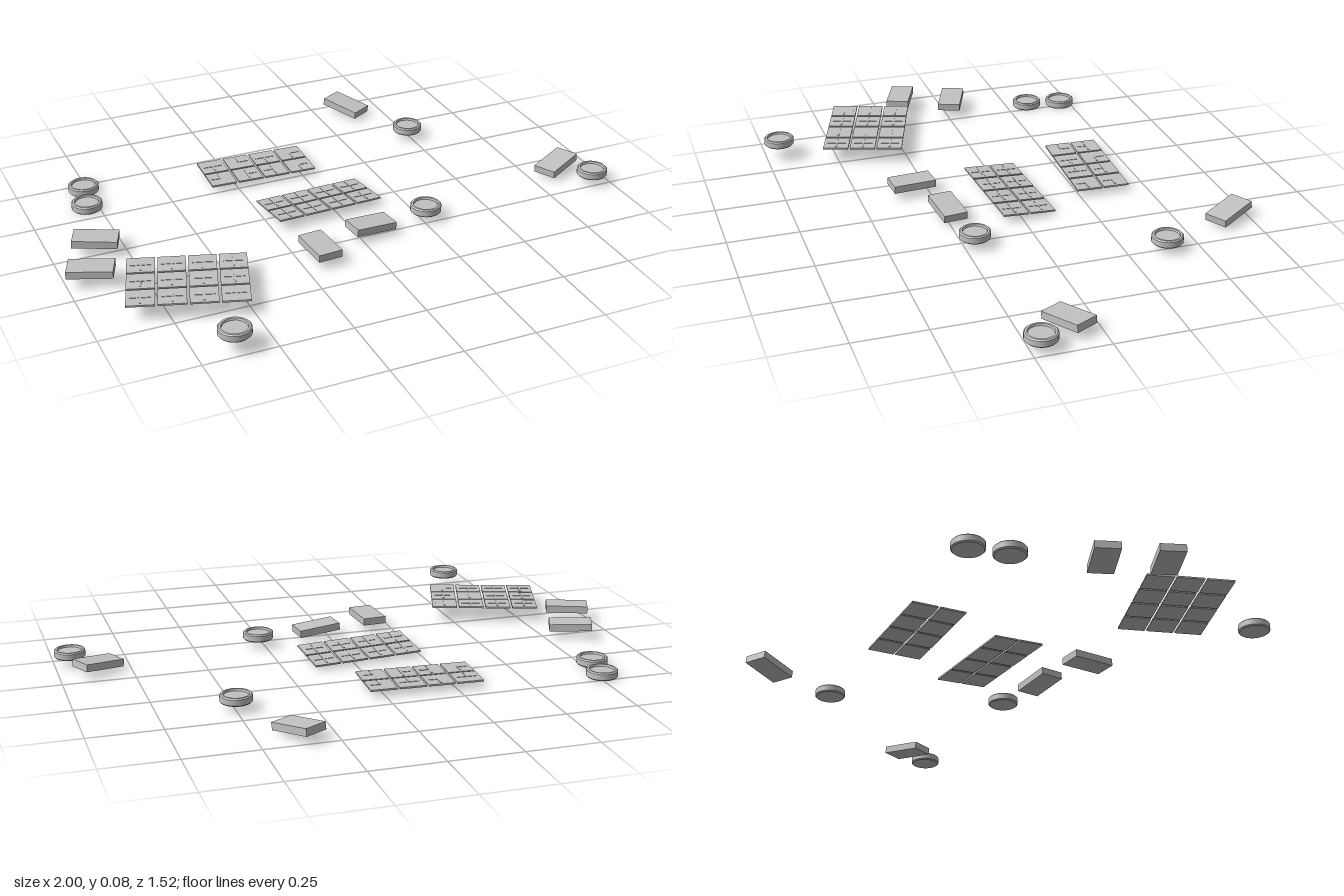
import * as THREE from 'three';

export function createModel() {
  const root = new THREE.Group();
  root.name = 'gamePieces';
  const grey = new THREE.MeshStandardMaterial({ color: 0xc2c2c2 });
  grey.name = 'plain grey';

  const add = (parent, name, geo, x = 0, y = 0, z = 0) => {
    const m = new THREE.Mesh(geo, grey);
    m.name = name;
    m.position.set(x, y, z);
    parent.add(m);
    return m;
  };
  // Turn so local x follows (dx, dz), then tilt
  const orient = (o, dx, dz, tiltX = 0, tiltZ = 0) => {
    o.rotation.order = 'YXZ';
    o.rotation.set(tiltX, -Math.atan2(dz, dx), tiltZ);
  };

  // Round tokens with a raised rim and a shallow dish
  const R = 0.054, H = 0.028;
  const profile = [
    [0, 0], [R - 0.004, 0], [R - 0.004, 0], [R, 0.004], [R, 0.004], [R, H - 0.004], [R, H - 0.004],
    [R - 0.004, H], [R - 0.004, H], [R - 0.011, H], [R - 0.011, H], [R - 0.013, H - 0.007],
    [R - 0.013, H - 0.007], [0, H - 0.007],
  ].map(([x, y]) => new THREE.Vector2(x, y));
  const tokenGeo = new THREE.LatheGeometry(profile, 32);
  [
    [-0.765, 0.001, -0.46], [-0.79, 0.001, -0.33], [0.495, 0.026, -0.39],
    [0.27, 0.027, 0.21], [0.945, 0.027, 0.21], [-0.625, 0.051, 0.70],
  ].forEach((p) => add(root, 'token', tokenGeo, ...p));

  // Card decks: position, long direction, lengthwise tilt
  const deckGeo = new THREE.BoxGeometry(0.153, 0.026, 0.085);
  [
    [0.366, 0.034, -0.674, 14, 25, -0.13],
    [0.864, 0.035, 0.093, 26, -13, 0.1],
    [-0.845, 0.046, -0.03, 27, 11, -0.04],
    [-0.917, 0.052, 0.16, 27, 11, 0],
    [-0.174, 0.042, 0.31, 2, 28, 0],
    [0.045, 0.038, 0.24, 28, -3, -0.08],
  ].forEach(([x, y, z, dx, dz, tilt]) => orient(add(root, 'cardDeck', deckGeo, x, y, z), dx, dz, 0, tilt));

  // Square tiles with low path ribs; arms lists the directions used in turn
  const tileGeo = new THREE.BoxGeometry(0.092, 0.006, 0.092);
  const armGeo = new THREE.BoxGeometry(0.034, 0.002, 0.006);
  const grid = (name, rows, pos, dx, dz, tiltX, tiltZ, arms) => {
    const g = new THREE.Group();
    g.name = name;
    g.position.set(...pos);
    orient(g, dx, dz, tiltX, tiltZ);
    for (let r = 0; r < rows; r++) {
      for (let c = 0; c < 4; c++) {
        const x = (c - 1.5) * 0.1, z = (r - (rows - 1) / 2) * 0.099;
        add(g, 'tile', tileGeo, x, 0, z);
        for (const k of arms[(r * 4 + c) % arms.length]) {
          const a = k * Math.PI / 2;
          add(g, 'pathRib', armGeo, x + Math.cos(a) * 0.017, 0.0035, z - Math.sin(a) * 0.017).rotation.y = a;
        }
      }
    }
    root.add(g);
  };
  const cross = [[0, 1, 2, 3]];
  const mixed = [[0, 2, 3], [0, 1], [0, 2, 3], [0, 3], [1, 2], [0, 1, 3], [1, 2, 3], [0, 3]];
  grid('backTiles', 2, [-0.147, 0.026, -0.342], 73, 3, 0, 0, mixed);
  grid('middleTiles', 2, [-0.04, 0.028, -0.01], 73, -5, -0.08, -0.02, cross);
  grid('frontTiles', 3, [-0.655, 0.058, 0.358], 70, 23, 0, 0, cross);
  return root;
}
